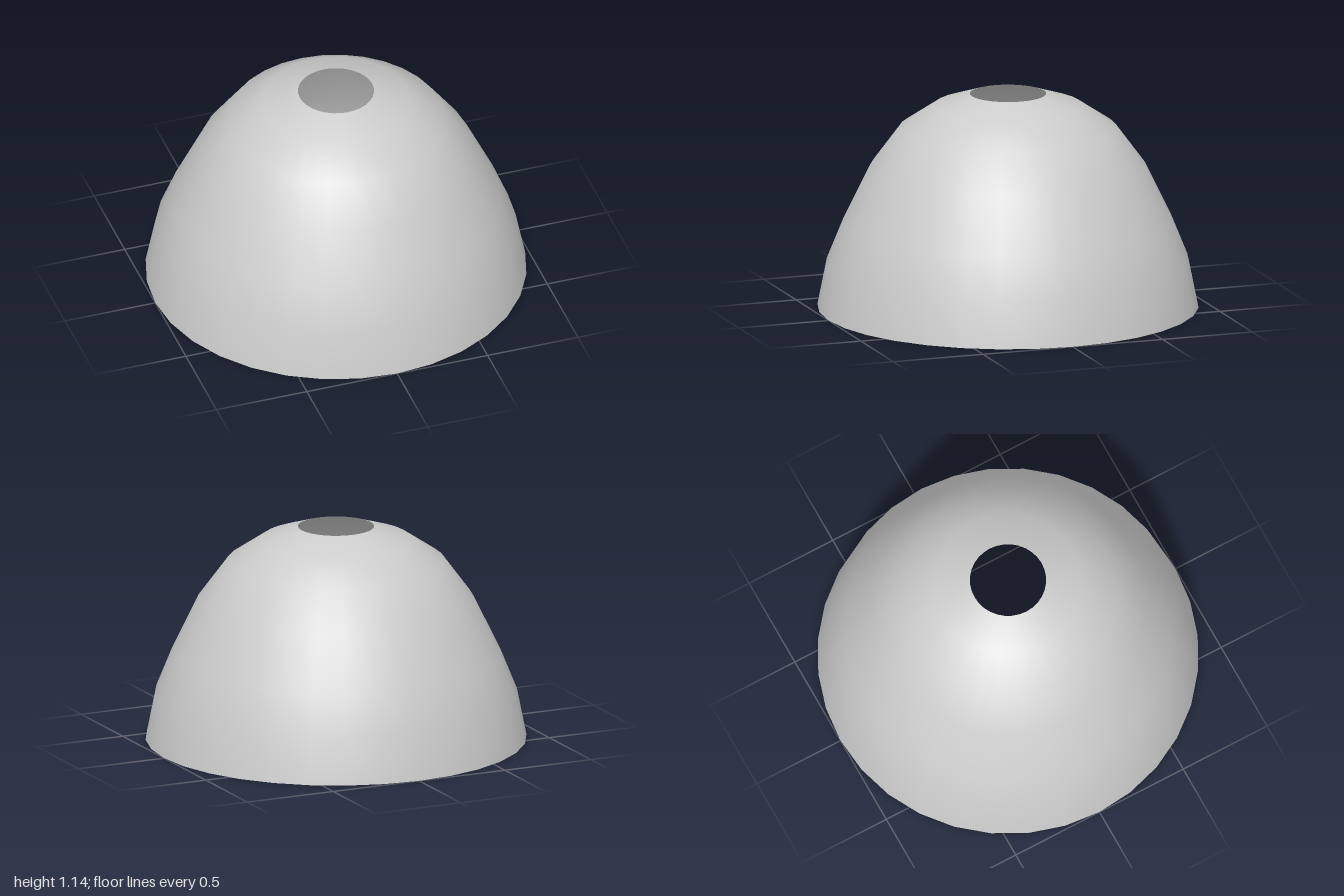
import * as THREE from 'three';

export function createModel() {
  const group = new THREE.Group();
  group.name = 'lampshade';

  // Dome profile from the wide bottom rim up to the open top hole
  const profile = [
    [1, 0], [0.95, 0.25], [0.865, 0.46], [0.725, 0.75],
    [0.57, 0.96], [0.39, 1.08], [0.2, 1.143],
  ].map(([r, y]) => new THREE.Vector2(r, y));

  // Thin open shell, seen from inside and outside
  const shade = new THREE.Mesh(
    new THREE.LatheGeometry(profile, 32),
    new THREE.MeshStandardMaterial({ color: 0xcccccc, side: THREE.DoubleSide })
  );
  shade.name = 'shade';
  group.add(shade);

  return group;
}
